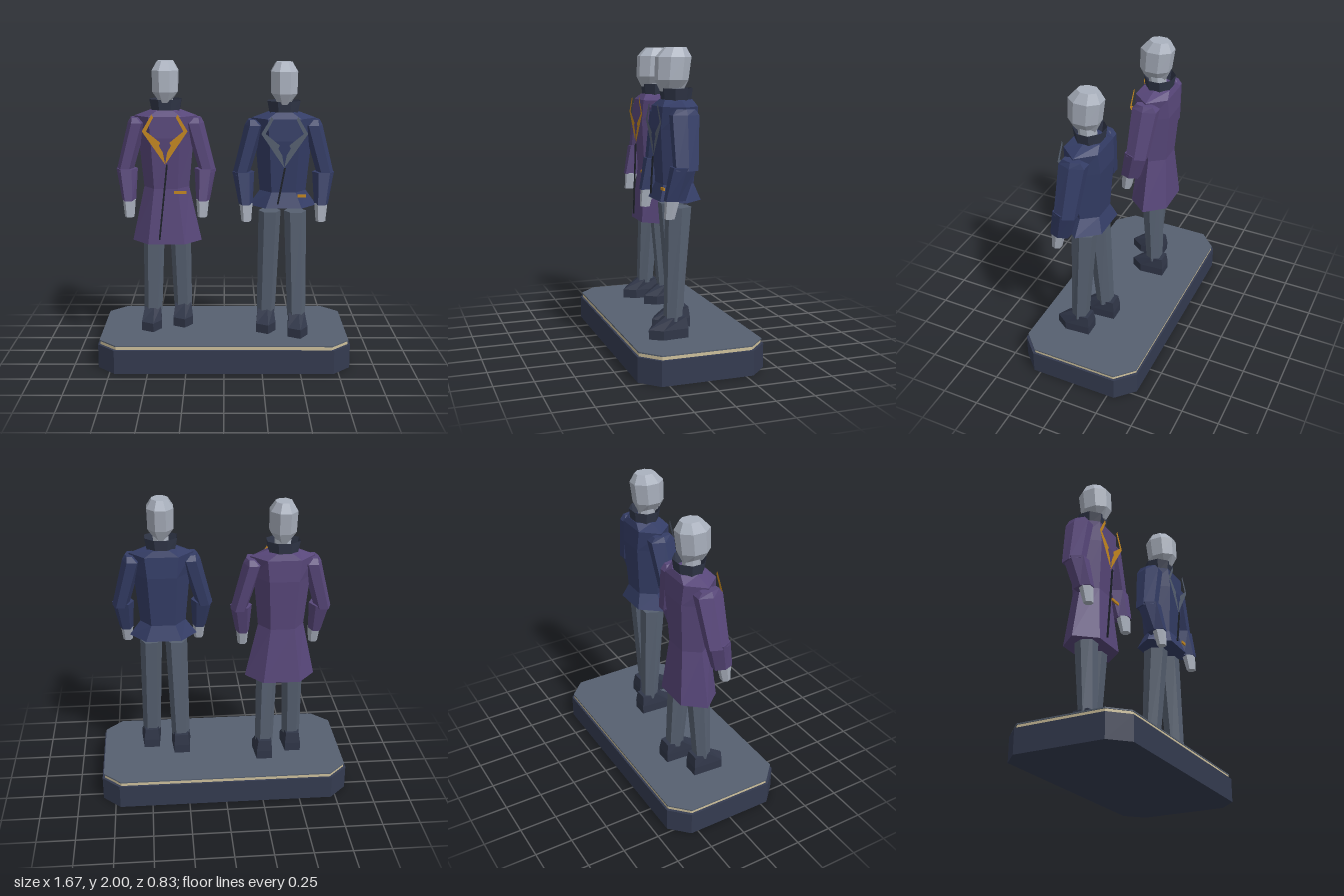
import * as THREE from 'three';

const mat = (name, color) => {
  const m = new THREE.MeshStandardMaterial({ color, side: THREE.DoubleSide });
  m.name = name;
  return m;
};

// Outlines of cross-sections as [x, z] units, ordered from +x towards +z
const HEX = [[1, 0], [0.52, 1], [-0.52, 1], [-1, 0], [-0.52, -1], [0.52, -1]];
const OCT = Array.from({ length: 8 }, (_, i) => {
  const a = (i + 0.5) * Math.PI / 4;
  return [Math.cos(a) * 1.08, Math.sin(a) * 1.08];
});
const BASE = [[1, 0.72], [0.86, 1], [-0.86, 1], [-1, 0.72], [-1, -0.72], [-0.86, -1], [0.86, -1], [1, -0.72]];
const SHOE = [[1, 0.35], [0.2, 1], [-1, 0.65], [-0.8, -1], [0.8, -1]];

// Faceted solid through sections [x, y, z, halfWidth, halfDepth], bottom to top
function loft(shape, sections, capped = true) {
  const rings = sections.map(([x, y, z, w, d]) => shape.map(([u, v]) => [x + u * w, y, z + v * d]));
  const n = shape.length, last = rings.length - 1, pos = [];
  const tri = (a, b, c) => pos.push(...a, ...b, ...c);
  for (let r = 0; r < last; r++) {
    for (let i = 0; i < n; i++) {
      const j = (i + 1) % n, lo = rings[r], hi = rings[r + 1];
      tri(lo[i], hi[i], lo[j]);
      tri(lo[j], hi[i], hi[j]);
    }
  }
  if (capped) {
    for (let i = 1; i < n - 1; i++) {
      tri(rings[0][0], rings[0][i], rings[0][i + 1]);
      tri(rings[last][0], rings[last][i + 1], rings[last][i]);
    }
  }
  const g = new THREE.BufferGeometry();
  g.setAttribute('position', new THREE.Float32BufferAttribute(pos, 3));
  g.computeVertexNormals();
  return g;
}

function add(parent, name, geometry, material) {
  const m = new THREE.Mesh(geometry, material);
  m.name = name;
  parent.add(m);
  return m;
}

function createFigure(name, o, c) {
  const g = new THREE.Group();
  g.name = name;

  // Head, neck and stand-up collar
  add(g, 'head', loft(OCT, [
    [0, 1.73, 0.02, 0.035, 0.07], [0, 1.8, 0.02, 0.083, 0.1],
    [0, 1.94, 0.008, 0.086, 0.107], [0, 2, -0.005, 0.052, 0.065]]), c.skin);
  add(g, 'neck', loft(OCT, [[0, 1.64, 0, 0.05, 0.055], [0, 1.76, 0.01, 0.05, 0.055]]), c.skin);
  add(g, 'collar', loft(OCT, [[0, 1.665, -0.01, 0.09, 0.085], [0, 1.75, -0.01, 0.106, 0.095]], false), c.dark);

  // Coat body, flaring below the waist
  add(g, 'coat', loft(HEX, [
    [0, o.hem, 0, o.hemWidth, 0.133], [0, 1.16, 0, 0.152, 0.1], [0, 1.5, 0, 0.185, 0.122],
    [0, 1.64, 0, 0.21, 0.114], [0, 1.68, -0.01, 0.1, 0.09]]), o.cloth);

  // Arms, bent slightly forwards
  for (const s of [-1, 1]) {
    const arm = new THREE.Group();
    arm.name = s < 0 ? 'rightArm' : 'leftArm';
    g.add(arm);
    add(arm, 'upperArm', loft(HEX, [
      [s * 0.278, 1.27, 0.025, 0.056, 0.07], [s * 0.19, 1.595, 0.005, 0.064, 0.085],
      [s * 0.205, 1.63, 0.005, 0.03, 0.06]]), o.cloth);
    add(arm, 'forearm', loft(HEX, [
      [s * 0.247, 1.085, 0.085, 0.046, 0.062], [s * 0.262, 1.29, 0.035, 0.072, 0.072]]), o.cloth);
    add(arm, 'hand', loft(HEX, [
      [s * 0.243, 0.975, 0.118, 0.032, 0.028], [s * 0.245, 1.09, 0.1, 0.043, 0.04]]), c.skin);
  }

  // Legs and shoes in a short stride
  for (const s of [-1, 1]) {
    const z = s === o.forward ? 0.045 : -0.045;
    const leg = new THREE.Group();
    leg.name = s < 0 ? 'rightLeg' : 'leftLeg';
    g.add(leg);
    add(leg, 'trouserLeg', loft(HEX, [
      [s * 0.101, 0.3, z, 0.062, 0.05], [s * 0.085, 1.02, z * 0.1, 0.074, 0.073]]), c.slate);
    add(leg, 'shoe', loft(SHOE, [
      [s * 0.105, 0.188, z + 0.04, 0.067, 0.125], [s * 0.105, 0.25, z + 0.04, 0.067, 0.125],
      [s * 0.103, 0.325, z - 0.01, 0.055, 0.065]]), c.dark);
  }

  // Lapels, mirrored
  for (const s of [-1, 1]) {
    const outline = [[0.085, 1.66], [0.15, 1.55], [0, 1.33], [0.014, 1.41], [0.04, 1.455], [0.03, 1.475],
      [0.122, 1.55], [0.074, 1.64]].map(([x, y]) => new THREE.Vector2(s * x, y));
    const lapel = add(g, s < 0 ? 'rightLapel' : 'leftLapel', new THREE.ShapeGeometry(new THREE.Shape(outline)), o.trim);
    lapel.position.z = 0.138;
  }

  // Slanted front zip
  const [x0, x1, y1] = o.zip, dx = x1 - x0, dy = 1.33 - y1;
  const zip = add(g, 'zip', new THREE.BoxGeometry(0.011, Math.hypot(dx, dy), 0.009), c.black);
  zip.position.set((x0 + x1) / 2, (1.33 + y1) / 2, 0.143);
  zip.rotation.z = Math.atan2(dx, dy) * -1 + 0;
  zip.rotation.z = -Math.atan2(-dx, dy);

  // Pocket trim
  const [px, pw] = o.pocket;
  add(g, 'pocketTrim', new THREE.BoxGeometry(pw, 0.018, 0.009), c.gold).position.set(px, 1.14, 0.118);

  g.position.set(o.x, 0, o.z);
  return g;
}

export function createModel() {
  const model = new THREE.Group();
  model.name = 'twoFiguresOnBase';
  const c = {
    base: mat('baseNavy', 0x343b50),
    slate: mat('slate', 0x566070),
    cream: mat('cream', 0xcdc09c),
    dark: mat('darkSlate', 0x303648),
    skin: mat('paleGrey', 0xaab1be),
    purple: mat('purple', 0x58477a),
    navy: mat('navy', 0x343d66),
    gold: mat('gold', 0xc58820),
    black: mat('black', 0x1c2028),
  };

  // Chamfered base with a pale band and a top plate
  const base = new THREE.Group();
  base.name = 'base';
  model.add(base);
  const slab = (name, y0, y1, w, d, m) => add(base, name, loft(BASE, [[0, y0, 0, w, d], [0, y1, 0, w, d]]), m);
  slab('plinth', 0, 0.16, 0.835, 0.415, c.base);
  slab('band', 0.16, 0.182, 0.82, 0.402, c.cream);
  slab('topPlate', 0.182, 0.19, 0.825, 0.405, c.slate);

  model.add(createFigure('longCoatFigure', {
    x: -0.388, z: -0.06, cloth: c.purple, trim: c.gold, hem: 0.785, hemWidth: 0.235,
    forward: -1, zip: [0.012, -0.044, 0.82], pocket: [0.097, 0.085],
  }, c));
  model.add(createFigure('shortJacketFigure', {
    x: 0.389, z: 0.065, cloth: c.navy, trim: c.slate, hem: 1.06, hemWidth: 0.225,
    forward: 1, zip: [0.004, -0.04, 1.09], pocket: [0.118, 0.055],
  }, c));
  return model;
}
